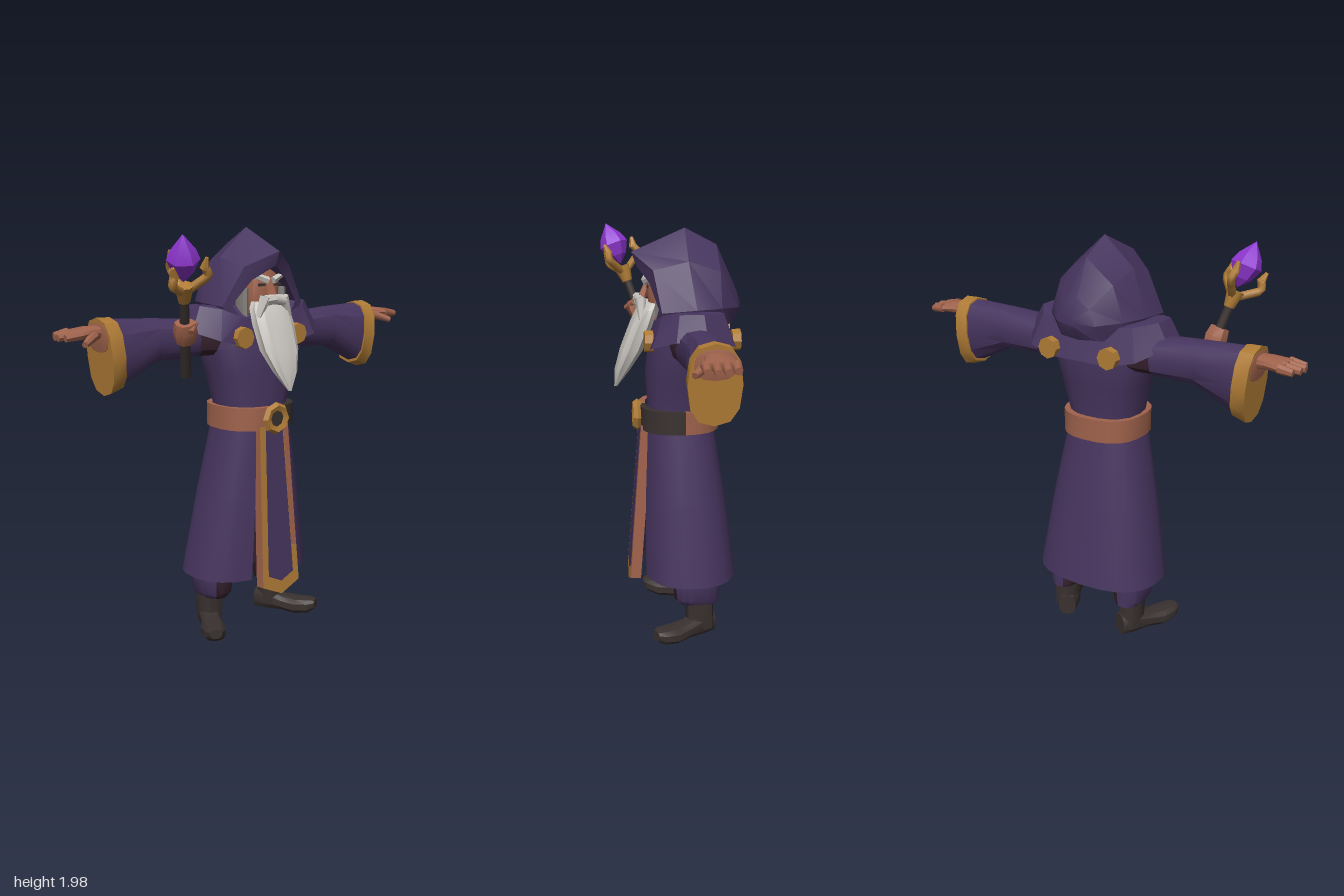
import * as THREE from 'three';
import { toCreasedNormals } from 'three/addons/utils/BufferGeometryUtils.js';

const V = (x, y, z) => new THREE.Vector3(x, y, z);
const mat = (name, color) => {
  const m = new THREE.MeshStandardMaterial({ color });
  m.name = name;
  return m;
};

export function createModel() {
  const root = new THREE.Group();
  root.name = 'robedMage';
  const purple = mat('purple cloth', 0x47355f);
  const maroon = mat('dark lining', 0x38222f);
  const gold = mat('gold', 0xb07c36);
  const skin = mat('skin and leather', 0xa0634c);
  const dark = mat('dark leather', 0x39312f);
  const white = mat('white hair', 0xc9c5bf);
  const grey = mat('grey hair', 0x85817c);
  const violet = mat('crystal violet', 0x8f36d0);
  for (const m of [purple, maroon]) m.side = THREE.DoubleSide;

  const add = (name, geo, material, parent = root) => {
    const mesh = new THREE.Mesh(geo, material);
    mesh.name = name;
    parent.add(mesh);
    return mesh;
  };

  // Surface through a list of rings; closed rings are capped at both ends
  function loft(rings, { closed = true, cap = true, crease = 0.6 } = {}) {
    const p = [], n = rings[0].length;
    const tri = (...v) => v.forEach(q => p.push(q.x, q.y, q.z));
    const count = closed ? n : n - 1;
    for (let i = 0; i < rings.length - 1; i++)
      for (let j = 0; j < count; j++) {
        const k = (j + 1) % n, a = rings[i], b = rings[i + 1];
        tri(a[j], a[k], b[k]);
        tri(a[j], b[k], b[j]);
      }
    if (closed && cap) for (const [r, first] of [[rings[0], true], [rings.at(-1), false]]) {
      const c = r.reduce((s, q) => s.add(q), V(0, 0, 0)).divideScalar(n);
      for (let j = 0; j < n; j++) {
        const k = (j + 1) % n;
        first ? tri(c, r[k], r[j]) : tri(c, r[j], r[k]);
      }
    }
    const g = new THREE.BufferGeometry();
    g.setAttribute('position', new THREE.Float32BufferAttribute(p, 3));
    return toCreasedNormals(g, crease);
  }
  // Mirror across x, keeping faces outward
  function mirror(geo) {
    const g = geo.clone().scale(-1, 1, 1), a = g.attributes.position;
    for (let i = 0; i < a.count; i += 3) {
      const p = V().fromBufferAttribute(a, i), q = V().fromBufferAttribute(a, i + 2);
      a.setXYZ(i, q.x, q.y, q.z);
      a.setXYZ(i + 2, p.x, p.y, p.z);
    }
    return toCreasedNormals(g, 0.6);
  }
  const pair = (name, geo, material) => {
    add('left' + name, geo, material);
    add('right' + name, mirror(geo), material);
  };
  const sq = v => Math.sign(v) * Math.abs(v) ** 0.8;
  // Horizontal ring or arc, starting at the front and turning to +x
  function ring(y, w, zf, zb, { n = 16, a0 = 0, a1 = 0, cx = 0, groove = 0 } = {}) {
    const arc = a1 > a0, out = [];
    for (let j = 0; j < (arc ? n + 1 : n); j++) {
      const a = arc ? a0 + (a1 - a0) * j / n : j / n * Math.PI * 2;
      const s = j % 2 ? 1 - groove : 1;
      out.push(V(cx + sq(Math.sin(a)) * w * s, y, (zf + zb) / 2 + sq(Math.cos(a)) * (zf - zb) / 2 * s));
    }
    return out;
  }
  // Upright ring across the arm; the lower side is drawn inward by slant
  function armRing(x, yt, yb, zf, zb, slant = 0, n = 12) {
    return Array.from({ length: n }, (_, j) => {
      const a = j / n * Math.PI * 2, c = sq(Math.cos(a));
      return V(x - slant * (1 - c) / 2, (yt + yb) / 2 + c * (yt - yb) / 2, (zf + zb) / 2 + sq(Math.sin(a)) * (zf - zb) / 2);
    });
  }
  // Tapered round piece between two points
  function limb(a, b, r0, r1, n = 7) {
    const d = b.clone().sub(a), g = new THREE.CylinderGeometry(r1, r0, d.length(), n);
    g.applyQuaternion(new THREE.Quaternion().setFromUnitVectors(V(0, 1, 0), d.clone().normalize()));
    g.translate(...a.clone().add(b).multiplyScalar(0.5));
    return toCreasedNormals(g, 1);
  }
  // Ring from its +x half, ordered front or top first
  const sym = half => {
    const pts = half.map(q => V(...q));
    return [...pts, ...pts.slice(1, -1).reverse().map(q => V(-q.x, q.y, q.z))];
  };

  // Robe
  add('torso', loft([ring(1.04, 0.175, 0.14, -0.18), ring(1.15, 0.18, 0.13, -0.18), ring(1.3, 0.215, 0.14, -0.205),
    ring(1.42, 0.245, 0.125, -0.22), ring(1.54, 0.25, 0.1, -0.21), ring(1.6, 0.16, 0.06, -0.16)]), purple);
  const open = { n: 20, a0: 0.3, a1: Math.PI * 2 - 0.3 };
  add('skirt', loft([ring(0.3, 0.325, 0.16, -0.3, open), ring(0.7, 0.258, 0.155, -0.245, open),
    ring(1.07, 0.185, 0.145, -0.185, open)], { closed: false }), purple);
  add('innerRobe', loft([ring(0.37, 0.26, 0.11, -0.24), ring(1.04, 0.16, 0.115, -0.16)]), maroon);

  // Belt and buckle
  const beltArc = (a0, a1, n) => loft([[1.035, 0], [1.035, 1], [1.145, 1], [1.145, 0]].map(([y, o]) =>
    ring(y, 0.17 + 0.03 * o, 0.14 + 0.03 * o, -0.185 - 0.03 * o, { n, a0, a1 })), { closed: false });
  add('beltDarkPart', beltArc(0, 1.6, 6), dark);
  add('belt', beltArc(1.6, Math.PI * 2, 16), skin);
  add('buckle', toCreasedNormals(new THREE.TorusGeometry(0.057, 0.022, 5, 8), 0.5).translate(0, 1.09, 0.18), gold);
  add('buckleCentre', new THREE.CylinderGeometry(0.042, 0.042, 0.02, 6).rotateX(Math.PI / 2).translate(0, 1.09, 0.178), dark);

  // Hanging front panel
  const tabard = new THREE.Group();
  tabard.name = 'frontPanel';
  tabard.position.set(0, 1.05, 0.115);
  tabard.rotation.x = -0.08;
  root.add(tabard);
  const slab = (pts, depth) => new THREE.ExtrudeGeometry(new THREE.Shape(pts.map(q => new THREE.Vector2(...q))), { depth, bevelEnabled: false });
  add('panelBorder', slab([[-0.085, 0], [-0.112, -0.78], [0, -0.83], [0.112, -0.78], [0.085, 0]], 0.05), [gold, skin], tabard);
  add('panelCloth', slab([[-0.05, 0], [-0.075, -0.73], [0, -0.765], [0.075, -0.73], [0.05, 0]], 0.003).translate(0, 0, 0.05), purple, tabard);
  add('panelLeatherEdge', slab([[0.057, 0], [0.074, -0.6], [0.104, -0.6], [0.085, 0]], 0.002).translate(0, 0, 0.05), skin, tabard);

  // Trousers and boots
  const trouser = (a0, a1) => loft([[0.175, 0.06, 0], [0.2, 0.078, 0.02], [0.29, 0.088, 0.03], [0.42, 0.085, 0.02]].map(([y, w, z]) =>
    ring(y, w, z, -0.2, { n: 8, a0, a1, cx: 0.19 })), { closed: false });
  pair('TrouserOuter', trouser(0.5, 3.4), purple);
  pair('TrouserInner', trouser(3.4, 0.5 + Math.PI * 2), maroon);
  pair('BootShaft', loft([ring(0.04, 0.055, -0.04, -0.175, { n: 10, cx: 0.195 }), ring(0.22, 0.062, -0.03, -0.175, { n: 10, cx: 0.195 })]), dark);
  const foot = loft([[-0.06, 0.045, 0, 0.11], [0, 0.058, 0, 0.13], [0.09, 0.05, 0.005, 0.09], [0.17, 0.062, 0, 0.085],
    [0.24, 0.052, 0.012, 0.09], [0.27, 0.03, 0.035, 0.085]].map(([z, w, yb, yt]) => Array.from({ length: 10 }, (_, j) => {
    const a = j / 10 * Math.PI * 2;
    return V(-sq(Math.sin(a)) * w, (yt + yb) / 2 + sq(Math.cos(a)) * (yt - yb) / 2, z);
  })));
  pair('Foot', foot.rotateY(0.5).translate(0.19, 0, -0.115), dark);

  // Sleeves with gold cuffs
  pair('SleeveRoot', loft([armRing(0.18, 1.56, 1.38, 0.05, -0.18), armRing(0.32, 1.56, 1.385, 0.03, -0.178)]), maroon);
  pair('Sleeve', loft([armRing(0.31, 1.56, 1.38, 0.03, -0.18), armRing(0.52, 1.575, 1.375, 0.01, -0.17),
    armRing(0.74, 1.585, 1.28, 0.025, -0.185, 0.025)]), purple);
  pair('Cuff', loft([armRing(0.735, 1.592, 1.268, 0.033, -0.192, 0.025), armRing(0.803, 1.594, 1.245, 0.035, -0.193, 0.028)]), gold);

  // Hands
  pair('Wrist', loft([armRing(0.77, 1.572, 1.44, 0.01, -0.17), armRing(0.803, 1.572, 1.44, 0.01, -0.17, 0.01),
    armRing(0.806, 1.555, 1.5, -0.03, -0.13)]), skin);
  pair('Palm', loft([armRing(0.79, 1.56, 1.5, -0.03, -0.13), armRing(0.85, 1.56, 1.505, -0.02, -0.145),
    armRing(0.93, 1.548, 1.505, 0.0, -0.16)]), skin);
  [[-0.14, 0.975], [-0.1, 0.995], [-0.06, 1], [-0.02, 0.985]].forEach(([z, x], i) =>
    pair('Finger' + (i + 1), limb(V(0.91, 1.53, z), V(x, 1.52, z), 0.023, 0.017), skin));
  pair('Thumb', limb(V(0.84, 1.52, -0.035), V(0.915, 1.492, 0.022), 0.024, 0.015), skin);

  // Shoulder cape and its round clasps
  const capeLow = [[0, 1.43, 0.13], [0.16, 1.44, 0.135], [0.28, 1.47, 0.13], [0.37, 1.51, 0.03], [0.375, 1.52, -0.11], [0.28, 1.47, -0.25], [0.15, 1.44, -0.27], [0, 1.44, -0.27]];
  const capeTop = [[0, 1.55, 0.1], [0.14, 1.57, 0.105], [0.24, 1.61, 0.08], [0.315, 1.625, 0.01], [0.315, 1.625, -0.1], [0.24, 1.615, -0.2], [0.12, 1.6, -0.22], [0, 1.6, -0.22]];
  const capeNeck = capeTop.map(([x, , z]) => [x * 0.5, 1.62, z * 0.5 - 0.03]);
  add('shoulderCape', loft([capeLow, capeTop, capeNeck].map(sym), { cap: false }), purple);
  for (const [z, side] of [[0.135, 'front'], [-0.27, 'back']])
    for (const x of [-0.16, 0.16])
      add(side + 'Clasp', toCreasedNormals(new THREE.CylinderGeometry(0.05, 0.05, 0.04, 8), 0.5).rotateX(Math.PI / 2).translate(x, 1.48, z), gold);

  // Pointed hood, from the inside of the opening round to the back
  add('hood', loft([
    [[0, 1.79, 0.03], [0.1, 1.74, 0], [0.17, 1.64, 0], [0.12, 1.53, 0.02], [0, 1.48, 0.03]],
    [[0, 1.805, 0.175], [0.1, 1.74, 0.125], [0.19, 1.63, 0.09], [0.12, 1.52, 0.11], [0, 1.46, 0.11]],
    [[0, 1.87, 0.2], [0.135, 1.8, 0.11], [0.238, 1.62, 0.08], [0.14, 1.49, 0.1], [0, 1.44, 0.1]],
    [[0, 1.978, -0.05], [0.155, 1.84, -0.05], [0.237, 1.63, -0.08], [0.215, 1.54, -0.08], [0, 1.5, -0.08]],
    [[0, 1.9, -0.2], [0.14, 1.79, -0.2], [0.195, 1.63, -0.2], [0.165, 1.53, -0.19], [0, 1.52, -0.2]],
    [[0, 1.73, -0.278], [0.07, 1.69, -0.285], [0.1, 1.62, -0.29], [0.085, 1.55, -0.27], [0, 1.54, -0.27]],
    [[0, 1.64, -0.315], [0.01, 1.63, -0.315], [0.012, 1.62, -0.315], [0.01, 1.61, -0.315], [0, 1.6, -0.31]],
  ].map(sym), { crease: 0.5 }), purple);

  // Face
  add('head', loft([ring(1.5, 0.07, 0.1, -0.08), ring(1.6, 0.098, 0.12, -0.08), ring(1.74, 0.1, 0.128, -0.08), ring(1.81, 0.08, 0.1, -0.06)]), skin);
  add('nose', limb(V(0, 1.74, 0.123), V(0, 1.665, 0.148), 0.012, 0.022, 5), skin);
  pair('SideHair', loft([ring(1.52, 0.018, 0.1, 0.03, { n: 8, cx: 0.11 }), ring(1.7, 0.022, 0.1, 0.02, { n: 8, cx: 0.112 })]), grey);
  pair('Brow', limb(V(0.014, 1.735, 0.136), V(0.098, 1.766, 0.112), 0.018, 0.012, 5), white);
  pair('Eye', new THREE.BoxGeometry(0.04, 0.012, 0.006).toNonIndexed().translate(0.047, 1.716, 0.128), dark);

  // Moustache and long grooved beard
  pair('MoustacheTop', limb(V(-0.005, 1.65, 0.165), V(0.055, 1.645, 0.165), 0.024, 0.026), white);
  pair('MoustacheEnd', limb(V(0.052, 1.66, 0.162), V(0.092, 1.57, 0.16), 0.028, 0.014), white);
  add('beard', loft([[1.235, 0.008, 0.288, 0.272], [1.32, 0.062, 0.285, 0.21], [1.42, 0.102, 0.258, 0.145], [1.54, 0.112, 0.21, 0.1],
    [1.61, 0.108, 0.175, 0.08], [1.64, 0.085, 0.15, 0.07]].map(([y, w, f, b]) => ring(y, w, f, b, { n: 20, groove: 0.09 })), { crease: 0.7 }), white);

  // Staff with clawed crystal, gripped by a fist
  const staff = new THREE.Group();
  staff.name = 'staff';
  staff.position.set(-0.43, 1.32, 0.06);
  staff.quaternion.setFromUnitVectors(V(0, 1, 0), V(-0.135, 0.53, 0.19).normalize());
  root.add(staff);
  add('staffShaft', limb(V(0, 0, 0), V(0, 0.41, 0), 0.025, 0.021, 8), dark, staff);
  add('fist', loft([ring(0.18, 0.044, 0.046, -0.04, { n: 8 }), ring(0.23, 0.054, 0.054, -0.046, { n: 8 }), ring(0.275, 0.045, 0.044, -0.04, { n: 8 })]), skin, staff);
  add('fistThumb', limb(V(0.045, 0.26, 0.01), V(-0.005, 0.25, 0.055), 0.018, 0.014), skin, staff);
  add('staffCollar', limb(V(0, 0.375, 0), V(0, 0.455, 0), 0.026, 0.044, 8), gold, staff);
  for (let i = 0; i < 3; i++) {
    const a = Math.PI / 6 + i * Math.PI * 2 / 3, at = (r, y) => V(Math.cos(a) * r, y, Math.sin(a) * r);
    add('claw', new THREE.TubeGeometry(new THREE.CatmullRomCurve3([at(0.015, 0.43), at(0.065, 0.465), at(0.105, 0.5), at(0.088, 0.54)]), 8, 0.02, 6), gold, staff);
    add('clawTip', limb(at(0.09, 0.53), at(0.1, 0.58), 0.022, 0.008, 6), gold, staff);
  }
  const profile = [[0, 0.47], [0.045, 0.515], [0.073, 0.575], [0.055, 0.62], [0, 0.69]].map(q => new THREE.Vector2(...q));
  add('crystal', toCreasedNormals(new THREE.LatheGeometry(profile, 6), 0.3), violet, staff);
  return root;
}
